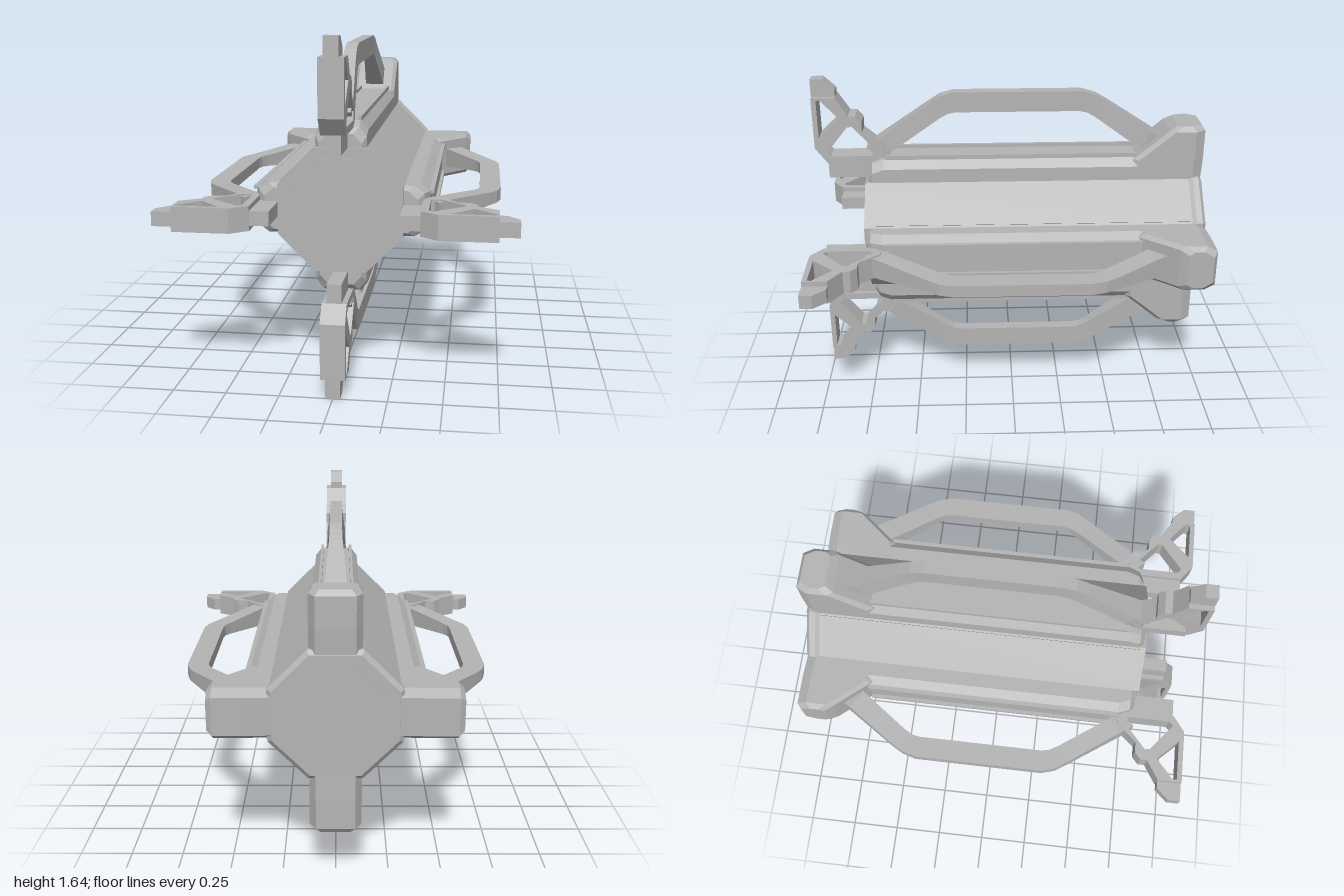
import * as THREE from 'three';

const grey = new THREE.MeshStandardMaterial({ color: 0xb4b4b4 });
grey.name = 'plain grey';

function mesh(name, geometry) {
  const m = new THREE.Mesh(geometry, grey);
  m.name = name;
  return m;
}

// Flat-shaded solid through closed rings of [x, y, z] points, with capped ends
function loft(rings) {
  const tris = [];
  const n = rings[0].length;
  for (let i = 0; i < rings.length - 1; i++) {
    for (let j = 0; j < n; j++) {
      const k = (j + 1) % n;
      const a = rings[i][j], b = rings[i][k], c = rings[i + 1][k], d = rings[i + 1][j];
      tris.push([a, b, c], [a, c, d]);
    }
  }
  const first = rings[0], last = rings[rings.length - 1];
  for (let j = 1; j < n - 1; j++) {
    tris.push([first[0], first[j + 1], first[j]], [last[0], last[j], last[j + 1]]);
  }
  // Turn the faces outward if the enclosed volume is negative
  let volume = 0;
  for (const [a, b, c] of tris) {
    volume += a[0] * (b[1] * c[2] - b[2] * c[1])
      + a[1] * (b[2] * c[0] - b[0] * c[2])
      + a[2] * (b[0] * c[1] - b[1] * c[0]);
  }
  if (volume < 0) tris.forEach((t) => t.reverse());
  const g = new THREE.BufferGeometry();
  g.setAttribute('position', new THREE.Float32BufferAttribute(tris.flat(2), 3));
  g.computeVertexNormals();
  return g;
}

// Octagon with wide diagonal sides
const octagon = (a, b, z) => [
  [b, a, z], [a, b, z], [a, -b, z], [b, -a, z],
  [-b, -a, z], [-a, -b, z], [-a, b, z], [-b, a, z],
];

// Profile drawn in (z, height), extruded evenly across x
function sideExtrude(points, width, holes = []) {
  const vec = (list) => list.map(([z, r]) => new THREE.Vector2(z, r));
  const shape = new THREE.Shape(vec(points));
  holes.forEach((h) => shape.holes.push(new THREE.Path(vec(h))));
  const g = new THREE.ExtrudeGeometry(shape, { depth: width, bevelEnabled: false });
  return g.translate(0, 0, -width / 2).rotateY(-Math.PI / 2);
}

function box(name, w, h, d, x, y, z) {
  return mesh(name, new THREE.BoxGeometry(w, h, d).translate(x, y, z));
}

// Long rail with chamfered shoulders and a tapered front end
function makeRail() {
  const ring = (z, w, top, cap) => [
    [-w, 0.26, z], [-w, top - 0.045, z], [-cap, top, z],
    [cap, top, z], [w, top - 0.045, z], [w, 0.26, z],
  ];
  return mesh('rail', loft([
    ring(0.735, 0.1, 0.36, 0.06), ring(0.71, 0.12, 0.39, 0.085),
    ring(0.65, 0.12, 0.412, 0.085), ring(-0.7, 0.12, 0.412, 0.085),
  ]));
}

// Rear pod: stacked plan outlines with a sloping front
function makePod() {
  const ring = (r, front, w, back) => [
    [-w + 0.03, r, back], [w - 0.03, r, back], [w, r, back + 0.05],
    [w, r, front - 0.03], [w - 0.02, r, front],
    [-w + 0.02, r, front], [-w, r, front - 0.03], [-w, r, back + 0.05],
  ];
  return mesh('rearPod', loft([
    ring(0.25, -0.6, 0.12, -0.985), ring(0.4, -0.63, 0.12, -0.993),
    ring(0.55, -0.81, 0.12, -0.993), ring(0.575, -0.85, 0.1, -0.975),
  ]));
}

// Handle: each row is outer z, outer height, inner z, inner height, half width
function makeHandle() {
  const rows = [
    [0.74, 0.46, 0.64, 0.39, 0.05], [0.67, 0.51, 0.61, 0.44, 0.052],
    [0.42, 0.685, 0.36, 0.61, 0.032], [0.36, 0.725, 0.32, 0.632, 0.03],
    [0.29, 0.745, 0.28, 0.64, 0.03], [-0.36, 0.745, -0.35, 0.64, 0.03],
    [-0.43, 0.725, -0.39, 0.632, 0.03], [-0.49, 0.69, -0.43, 0.61, 0.032],
    [-0.73, 0.53, -0.67, 0.44, 0.052], [-0.84, 0.46, -0.78, 0.37, 0.04],
  ];
  return mesh('handle', loft(rows.map(([zo, ro, zi, ri, w]) => [
    [-w, ro, zo], [w, ro, zo], [w, ri, zi], [-w, ri, zi],
  ])));
}

// Front bracket: openwork arm, narrow tip and mounting foot
function makeBracket() {
  const g = new THREE.Group();
  g.name = 'frontBracket';
  const arm = [
    [1, 0.73], [0.88, 0.73], [0.82, 0.635], [0.785, 0.635], [0.755, 0.6],
    [0.755, 0.545], [0.655, 0.46], [0.655, 0.42], [0.7, 0.385], [0.94, 0.385], [1, 0.465],
  ];
  const holes = [
    [[0.975, 0.52], [0.975, 0.715], [0.955, 0.72], [0.868, 0.62]],
    [[0.92, 0.42], [0.94, 0.44], [0.83, 0.575], [0.805, 0.58], [0.7, 0.46], [0.71, 0.42]],
  ];
  const tip = [[1, 0.725], [1, 0.82], [0.94, 0.82], [0.88, 0.765], [0.88, 0.725]];
  g.add(
    mesh('bracketArm', sideExtrude(arm, 0.116, holes)),
    mesh('bracketTip', sideExtrude(tip, 0.068)),
    box('bracketFoot', 0.068, 0.1, 0.24, 0, 0.345, 0.82),
  );
  return g;
}

export function createModel() {
  const model = new THREE.Group();
  model.name = 'octagonalCanister';
  const centre = new THREE.Group();
  centre.name = 'canister';
  centre.position.y = 0.82;
  model.add(centre);

  // Core with a rear collar, and thin end plates
  centre.add(mesh('core', loft([
    octagon(0.295, 0.12, 0.748), octagon(0.295, 0.12, -0.92), octagon(0.305, 0.125, -0.94),
    octagon(0.305, 0.125, -0.97), octagon(0.285, 0.115, -0.988),
  ])));
  centre.add(mesh('frontPlate', loft([octagon(0.245, 0.08, 0.74), octagon(0.245, 0.08, 0.752)])));
  centre.add(mesh('rearPlate', loft([octagon(0.245, 0.08, -0.98), octagon(0.245, 0.08, -0.992)])));

  // Four identical sides around the long axis
  for (let i = 0; i < 4; i++) {
    const side = new THREE.Group();
    side.name = 'side' + (i + 1);
    side.rotation.z = (i * Math.PI) / 2;
    side.add(makeRail(), makePod(), makeHandle(), makeBracket());
    for (const s of [-1, 1]) {
      side.add(box('railRib', 0.016, 0.05, 1.29, s * 0.08, 0.405, 0));
    }
    centre.add(side);

    // Raised panel on the diagonal face
    const panel = box('diagonalPanel', 0.225, 0.008, 1.635, 0, 0.2935, -0.093);
    panel.rotation.z = Math.PI / 4 + (i * Math.PI) / 2;
    centre.add(panel);
  }
  return model;
}
